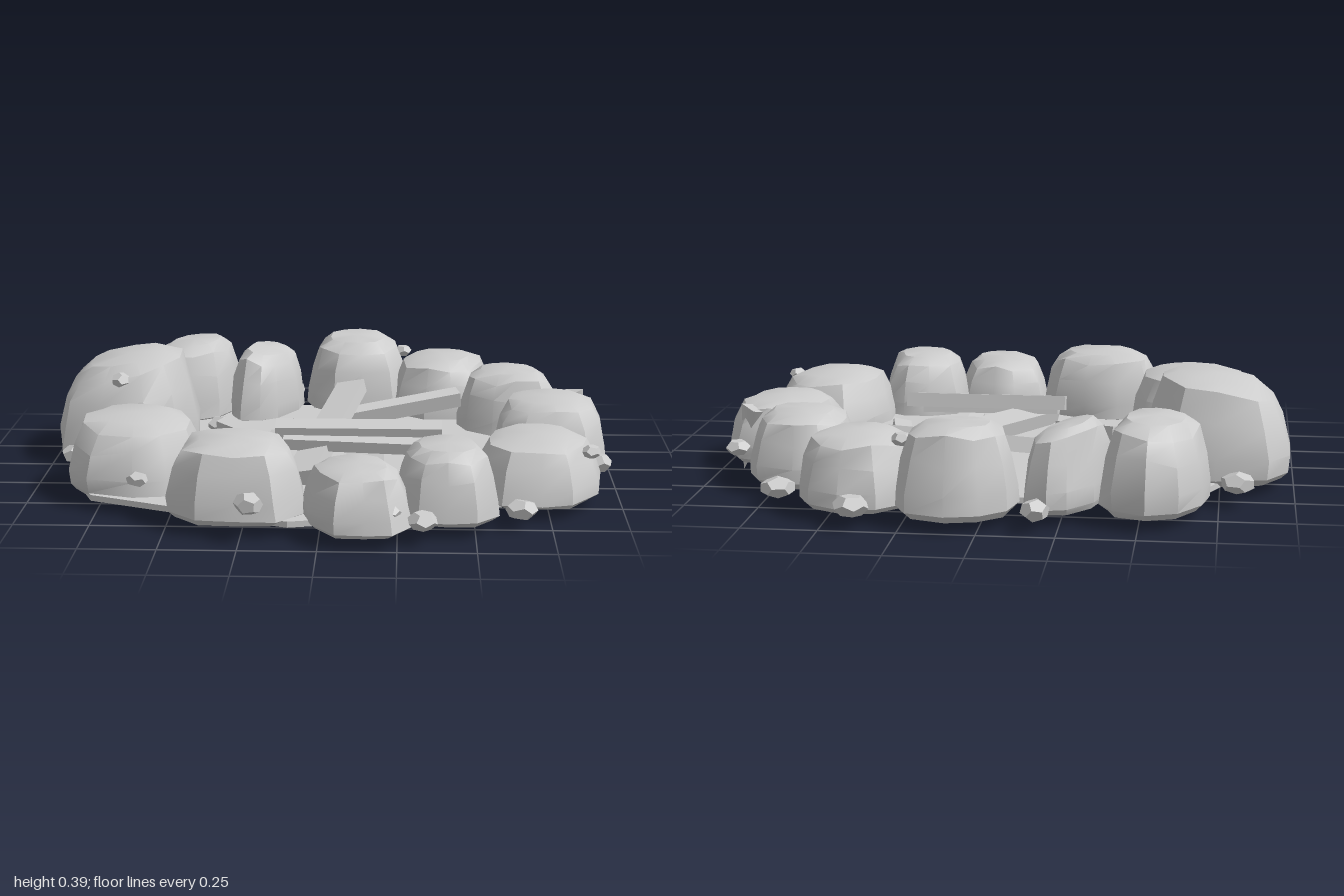
import * as THREE from 'three';
import { toCreasedNormals } from 'three/addons/utils/BufferGeometryUtils.js';

const BASE = 0.035;

function seeded(seed) {
  let s = seed * 7919 + 13;
  return () => ((s = (s * 16807) % 2147483647) / 2147483647);
}

// Rock from stacked, slightly irregular rings: [height fraction, width fraction]
const PROFILE = [[0, 0.88], [0.08, 0.99], [0.28, 0.98], [0.62, 0.89], [0.87, 0.76], [0.98, 0.53]];
const SIDES = 11;

function boulderGeometry(rx, rz, h, seed, { tiltX = 0, tiltZ = 0, shear = 0 }) {
  const rnd = seeded(seed);
  const spin = rnd() * 0.6;
  const pos = [], index = [];
  const wobble = Array.from({ length: SIDES }, () => [0.96 + rnd() * 0.09, (rnd() - 0.5) * 0.16]);
  const put = (x, y, z) => pos.push(x + shear * z, y * (1 + (tiltX * x) / rx + (tiltZ * z) / rz), z);
  PROFILE.forEach(([fy, fr], i) => {
    for (let j = 0; j < SIDES; j++) {
      const a = spin + (j / SIDES) * Math.PI * 2 + wobble[j][1];
      const c = Math.cos(a), s = Math.sin(a);
      // rounded-box footprint
      const r = fr * wobble[j][0] * (0.98 + rnd() * 0.06) / Math.pow(Math.abs(c) ** 2.6 + Math.abs(s) ** 2.6, 1 / 2.6);
      const lift = i === 3 || i === 4 ? (rnd() - 0.5) * 0.1 : 0;
      put(c * r * rx, (fy + lift) * h, s * r * rz);
    }
  });
  const rings = PROFILE.length;
  for (let i = 0; i < rings - 1; i++) {
    for (let j = 0; j < SIDES; j++) {
      const a = i * SIDES + j, b = i * SIDES + (j + 1) % SIDES;
      index.push(a, a + SIDES, b, b, a + SIDES, b + SIDES);
    }
  }
  // caps
  put(0, 0, 0);
  put(0, h, 0);
  const low = rings * SIDES, high = low + 1, last = (rings - 1) * SIDES;
  for (let j = 0; j < SIDES; j++) {
    const k = (j + 1) % SIDES;
    index.push(low, j, k, high, last + k, last + j);
  }
  const geo = new THREE.BufferGeometry();
  geo.setAttribute('position', new THREE.Float32BufferAttribute(pos, 3));
  geo.setIndex(index);
  return toCreasedNormals(geo, 0.6);
}

export function createModel() {
  const model = new THREE.Group();
  const stone = new THREE.MeshStandardMaterial({ color: 0xcccccc });
  stone.name = 'pale stone grey';

  const add = (parent, name, geo) => {
    const mesh = new THREE.Mesh(geo, stone);
    mesh.name = name;
    parent.add(mesh);
    return mesh;
  };
  const group = (name) => {
    const g = new THREE.Group();
    g.name = name;
    model.add(g);
    return g;
  };

  // Flat, irregular pit floor
  const outline = [
    [-0.83, 0.42], [-0.77, 0.58], [-0.5, 0.7], [-0.1, 0.86], [0.3, 0.76], [0.6, 0.6], [0.8, 0.35],
    [0.84, -0.1], [0.66, -0.5], [0.35, -0.75], [-0.2, -0.72], [-0.68, -0.6], [-0.78, -0.38], [-0.86, 0],
  ].map(([x, z]) => new THREE.Vector2(x, -z));
  const floor = new THREE.ExtrudeGeometry(new THREE.Shape(outline), { depth: 0.02, bevelEnabled: false });
  add(model, 'pitFloor', floor.rotateX(-Math.PI / 2)).position.y = BASE;

  // Ring of boulders: x, z, half width, half depth, top height, options
  const boulders = [
    [-0.74, -0.18, 0.25, 0.28, 0.375, { tiltX: 0.12, tiltZ: -0.02 }],
    [-0.545, -0.675, 0.17, 0.235, 0.33, { shear: -0.14, tiltX: 0.04 }],
    [-0.265, -0.67, 0.12, 0.21, 0.3, { shear: -0.24, tiltX: -0.1 }],
    [0.08, -0.8, 0.2, 0.2, 0.325, { tiltZ: -0.04 }],
    [0.415, -0.715, 0.19, 0.215, 0.27, {}],
    [0.66, -0.445, 0.185, 0.195, 0.275, { shear: 0.1 }],
    [0.79, -0.1, 0.198, 0.23, 0.25, {}],
    [0.715, 0.405, 0.215, 0.255, 0.24, { shear: -0.08 }],
    [0.41, 0.66, 0.168, 0.21, 0.27, {}],
    [0.12, 0.79, 0.17, 0.208, 0.235, { shear: 0.12 }],
    [-0.275, 0.675, 0.228, 0.205, 0.29, { shear: 0.12 }],
    [-0.64, 0.35, 0.23, 0.25, 0.285, { shear: 0.1 }],
  ];
  const ring = group('boulderRing');
  boulders.forEach(([x, z, rx, rz, top, opt], i) => {
    add(ring, 'boulder', boulderGeometry(rx, rz, top - BASE, i + 3, opt)).position.set(x, BASE, z);
  });

  // Sharp splinter hugging the edge of the right-hand boulder
  const splinter = add(ring, 'splinter', new THREE.ConeGeometry(0.06, 0.23, 4).rotateX(Math.PI));
  splinter.position.set(0.895, 0.113, -0.25);
  splinter.rotation.z = 0.25;

  // Loose angular pebbles: x, z, radius, centre height
  const pebbles = [
    [-0.18, -0.93, 0.055, 0.07], [0.4, -0.96, 0.06, 0.075], [0.69, -0.72, 0.06, 0.065],
    [0.9, -0.41, 0.048, 0.12], [0.945, 0.14, 0.053, 0.065], [0.89, 0.5, 0.036, 0.2],
    [0.65, 0.73, 0.055, 0.065], [0.33, 0.9, 0.05, 0.075], [0.23, 0.925, 0.035, 0.11],
    [-0.22, 0.9, 0.055, 0.125], [-0.61, 0.61, 0.04, 0.12], [-0.89, 0.15, 0.05, 0.08],
    [-0.81, -0.55, 0.06, 0.08], [-0.41, -0.33, 0.06, 0.07], [-0.13, -0.37, 0.03, 0.07],
    [0.17, -0.48, 0.035, 0.07], [0.14, -0.56, 0.028, 0.07], [0.32, -0.13, 0.035, 0.07],
    [-0.32, 0.23, 0.03, 0.07], [-0.74, 0.02, 0.042, 0.32], [0.26, -0.81, 0.038, 0.26],
  ];
  const loose = group('loosePebbles');
  const rnd = seeded(5);
  pebbles.forEach(([x, z, r, y]) => {
    const geo = new THREE.DodecahedronGeometry(r, 0).rotateX(rnd() * 3);
    geo.scale(1, 0.55 + rnd() * 0.15, 0.85 + rnd() * 0.15);
    geo.computeVertexNormals();
    const pebble = add(loose, 'pebble', geo);
    pebble.position.set(x, y, z);
    pebble.rotation.y = rnd() * 6;
  });

  // Split timbers: start, end, width, thickness
  const timbers = [
    [[0.07, 0.2, -0.42], [-0.08, 0.08, 0.44], 0.105, 0.05],
    [[-0.13, 0.1, -0.19], [0.47, 0.18, -0.36], 0.06, 0.055],
    [[-0.18, 0.18, 0.165], [0.4, 0.18, 0.165], 0.08, 0.05],
    [[-0.15, 0.15, 0.205], [0.35, 0.14, 0.23], 0.06, 0.04],
    [[-0.39, 0.13, -0.1], [-0.17, 0.1, 0.1], 0.06, 0.05],
    [[-0.18, 0.08, -0.17], [-0.24, 0.07, 0.2], 0.07, 0.04],
    [[0.15, 0.09, -0.1], [0.06, 0.07, 0.34], 0.06, 0.035],
    [[0.17, 0.08, -0.03], [0.17, 0.08, 0.35], 0.05, 0.04],
    [[0.38, 0.08, -0.06], [0.44, 0.07, 0.23], 0.065, 0.04],
  ];
  const firewood = group('firewood');
  timbers.forEach(([from, to, width, thick]) => {
    const a = new THREE.Vector3(...from), b = new THREE.Vector3(...to);
    const timber = add(firewood, 'timber', new THREE.BoxGeometry(width, thick, a.distanceTo(b)));
    timber.position.copy(a).lerp(b, 0.5);
    timber.lookAt(b);
    timber.rotateZ(0.2);
  });

  // Thin bark chips lying on the floor
  const chips = group('barkChips');
  [[-0.31, 0.25, 0.6], [0.3, -0.01, 0.7], [-0.23, 0.03, 1.6]].forEach(([x, z, turn]) => {
    const chip = add(chips, 'chip', new THREE.BoxGeometry(0.025, 0.02, 0.1));
    chip.position.set(x, 0.062, z);
    chip.rotation.y = turn;
  });

  return model;
}
